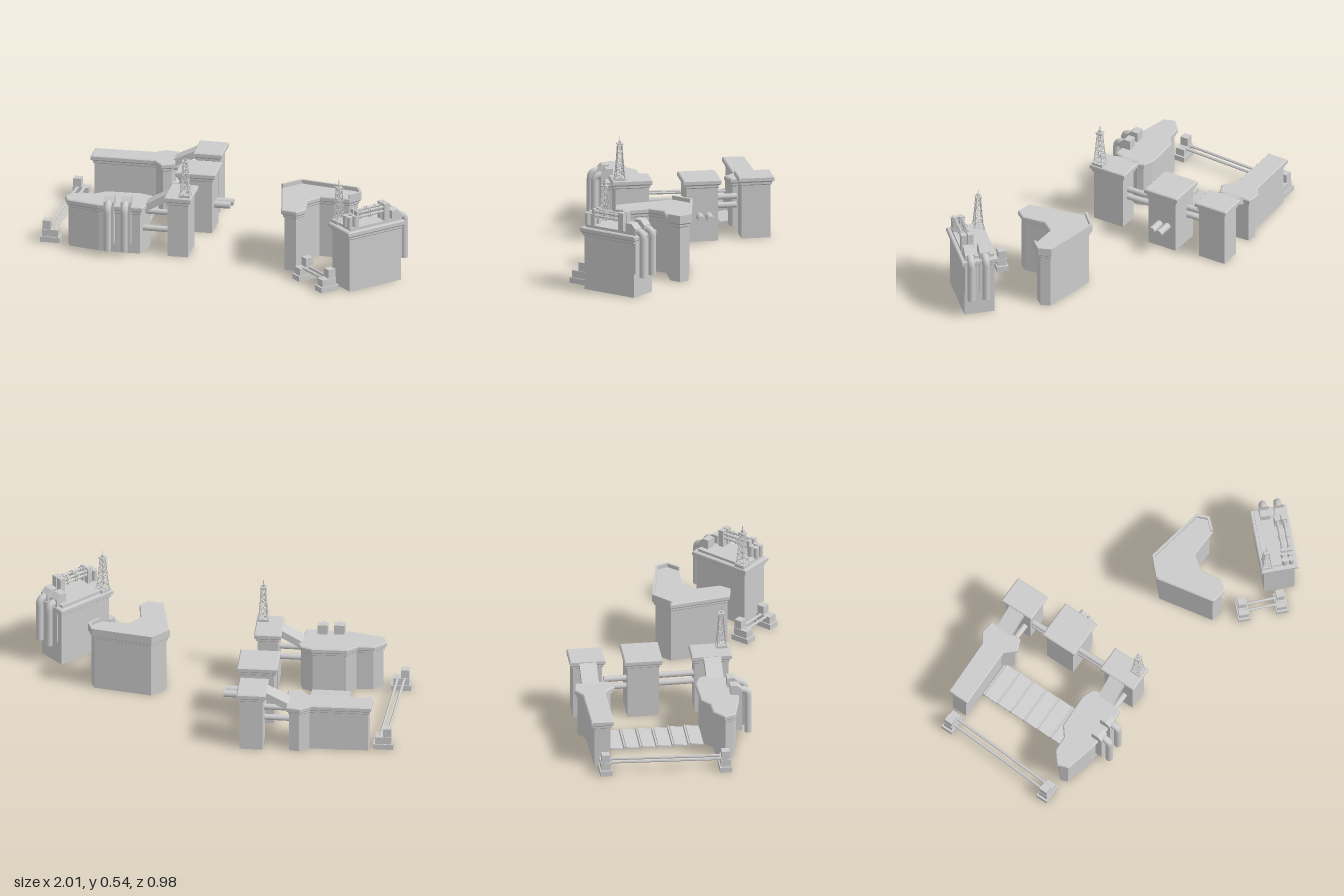
import * as THREE from 'three';

const flat = new THREE.MeshStandardMaterial({ color: 0xcccccc, flatShading: true });
const smooth = new THREE.MeshStandardMaterial({ color: 0xcccccc });
const thin = new THREE.MeshStandardMaterial({ color: 0xcccccc, flatShading: true, side: THREE.DoubleSide });
const V = (x, y, z) => new THREE.Vector3(x, y, z);
const YAW = 0.39; // left compound is turned this way, right compound the other way

function add(parent, name, geo, mat = flat, x = 0, y = 0, z = 0) {
  const m = new THREE.Mesh(geo, mat);
  m.name = name;
  m.position.set(x, y, z);
  parent.add(m);
  return m;
}
const box = (p, name, w, h, d, x, y, z) => add(p, name, new THREE.BoxGeometry(w, h, d), flat, x, y + h / 2, z);

function group(parent, name, x, y, z, ry = 0) {
  const g = new THREE.Group();
  g.name = name;
  g.position.set(x, y, z);
  g.rotation.y = ry;
  parent.add(g);
  return g;
}

// Round bar between two points
function bar(parent, name, a, b, r, seg = 14) {
  const m = add(parent, name, new THREE.CylinderGeometry(r, r, a.distanceTo(b), seg), seg > 6 ? smooth : flat);
  m.position.copy(a).lerp(b, 0.5);
  m.quaternion.setFromUnitVectors(V(0, 1, 0), b.clone().sub(a).normalize());
  return m;
}

// Move every edge of a footprint inwards by d
function inset(pts, d) {
  const n = pts.length;
  const normal = (a, b) => new THREE.Vector2(b.y - a.y, a.x - b.x).normalize();
  return pts.map((p, i) => {
    const n1 = normal(pts[(i + n - 1) % n], p), n2 = normal(p, pts[(i + 1) % n]);
    return p.clone().addScaledVector(n1.clone().add(n2), -d / (1 + n1.dot(n2)));
  });
}

// Walls from a footprint, lofted through [inset, y] rings to form the cornice
function block(parent, name, coords, h) {
  let pts = coords.map(([x, z]) => new THREE.Vector2(x, z));
  if (THREE.ShapeUtils.area(pts) < 0) pts = pts.reverse();
  const rings = [[0.016, 0], [0.016, h - 0.045], [0.01, h - 0.04], [0.01, h - 0.03],
    [0.003, h - 0.024], [0, h - 0.022], [0, h - 0.005], [0.005, h]]
    .map(([d, y]) => inset(pts, d).map((p) => V(p.x, y, p.y)));
  const out = [];
  const tri = (...vs) => vs.forEach((v) => out.push(v.x, v.y, v.z));
  const n = pts.length, top = rings[rings.length - 1];
  for (let r = 0; r < rings.length - 1; r++) {
    for (let i = 0; i < n; i++) {
      const j = (i + 1) % n, a = rings[r][i], b = rings[r][j], c = rings[r + 1][j], d = rings[r + 1][i];
      tri(a, d, c);
      tri(a, c, b);
    }
  }
  for (const [a, b, c] of THREE.ShapeUtils.triangulateShape(pts, [])) {
    tri(top[a], top[c], top[b]);
    tri(rings[0][a], rings[0][b], rings[0][c]);
  }
  const geo = new THREE.BufferGeometry();
  geo.setAttribute('position', new THREE.Float32BufferAttribute(out, 3));
  geo.computeVertexNormals();
  return add(parent, name, geo);
}

const rect = (w, d) => [[-w / 2, -d / 2], [w / 2, -d / 2], [w / 2, d / 2], [-w / 2, d / 2]];

// Chamfered duct with an elbow pipe running down beside it (outwards is +z)
function downPipe(parent, x, z, ry, r, pipeY, low, ductTop, ductLow) {
  const g = group(parent, 'downPipe', x, 0, z, ry);
  const path = new THREE.CurvePath(), e = 0.035;
  path.add(new THREE.LineCurve3(V(0, pipeY, -0.07), V(0, pipeY, -e)));
  path.add(new THREE.QuadraticBezierCurve3(V(0, pipeY, -e), V(0, pipeY, 0), V(0, pipeY - e, 0)));
  path.add(new THREE.LineCurve3(V(0, pipeY - e, 0), V(0, low, 0)));
  add(g, 'pipe', new THREE.TubeGeometry(path, 50, r, 14), smooth);
  add(g, 'pipeEnd', new THREE.CylinderGeometry(r, r, 0.01, 14), smooth, 0, low + 0.005, 0);
  const w = 0.05, s = new THREE.Shape();
  [[0, ductLow], [0.06, ductLow], [0.06, ductTop - 0.025], [0.035, ductTop], [0, ductTop]]
    .forEach(([a, b], i) => (i ? s.lineTo(a, b) : s.moveTo(a, b)));
  const duct = add(g, 'duct', new THREE.ExtrudeGeometry(s, { depth: w, bevelEnabled: false }), flat, w / 2, 0, -0.09);
  duct.rotation.y = -Math.PI / 2;
}

// Lattice mast: four tapered legs, crossed braces, platform and spire
function mast(parent, x, y, z, ry) {
  const g = group(parent, 'latticeMast', x, y, z, ry);
  const H = 0.18, levels = 6;
  const corner = (k, t) => {
    const a = k * Math.PI / 2 + Math.PI / 4, r = 0.034 - 0.02 * Math.pow(t, 0.75);
    return V(Math.cos(a) * r, H * t, Math.sin(a) * r);
  };
  for (let k = 0; k < 4; k++) {
    for (let i = 0; i < levels; i++) {
      const t = i / levels, u = (i + 1) / levels;
      bar(g, 'leg', corner(k, t), corner(k, u), 0.0028, 4);
      bar(g, 'brace', corner(k, t), corner(k + 1, u), 0.0016, 4);
      bar(g, 'brace', corner(k + 1, t), corner(k, u), 0.0016, 4);
      bar(g, 'crossBar', corner(k, u), corner(k + 1, u), 0.0016, 4);
    }
  }
  box(g, 'mastPlatform', 0.032, 0.006, 0.032, 0, H, 0);
  box(g, 'mastHead', 0.012, 0.012, 0.012, 0, H + 0.006, 0);
  bar(g, 'spire', V(0, H, 0), V(0, 0.222, 0), 0.0018, 5);
}

// Stepped barrier posts joined by two rails
function barrier(parent, a, b, ry, flip) {
  for (const p of [a, b]) {
    const g = group(parent, 'barrierPost', p.x, 0, p.z, ry);
    box(g, 'postBase', 0.1, 0.028, 0.06, 0, 0, 0);
    box(g, 'postBody', 0.08, 0.037, 0.048, 0, 0.028, 0);
    box(g, 'postHead', 0.04, 0.045, 0.04, flip * 0.018, 0.065, 0);
  }
  const side = V(b.z - a.z, 0, a.x - b.x).normalize().multiplyScalar(0.017);
  for (const s of [-1, 1]) {
    const off = side.clone().multiplyScalar(s).setY(0.062);
    bar(parent, 'barrierRail', a.clone().add(off), b.clone().add(off), 0.007, 6);
  }
}

// Sloping walkway from a low roof up to a tower
function walkway(parent, a, b) {
  const m = box(parent, 'walkway', 0.085, 0.035, a.distanceTo(b), 0, 0, 0);
  m.position.copy(a).lerp(b, 0.5);
  m.lookAt(b);
}

export function createModel() {
  const model = new THREE.Group();

  // Left compound: two low halls
  const left = group(model, 'leftCompound', 0, 0, 0);
  block(left, 'backHall', [[-0.92, -0.2], [-0.645, -0.32], [-0.612, -0.372], [-0.543, -0.39], [-0.474, -0.235],
    [-0.52, -0.19], [-0.585, -0.22], [-0.88, -0.096]], 0.25);
  block(left, 'frontHall', [[-0.685, 0.42], [-0.65, 0.35], [-0.575, 0.315], [-0.545, 0.26], [-0.385, 0.187],
    [-0.32, 0.185], [-0.29, 0.22], [-0.27, 0.355], [-0.39, 0.406], [-0.48, 0.438], [-0.645, 0.465]], 0.25);

  // Three towers
  for (const [name, x, z, w, d] of [['backTower', -0.353, -0.382, 0.145, 0.178],
    ['middleTower', -0.254, -0.126, 0.2, 0.19], ['frontTower', -0.142, 0.198, 0.135, 0.2]]) {
    block(group(left, name, x, 0, z, YAW), name + 'Walls', rect(w, d), 0.315);
  }
  mast(left, -0.088, 0.315, 0.24, YAW);
  box(group(left, 'mastBase', -0.088, 0.315, 0.24, YAW), 'mastPlinth', 0.056, 0.012, 0.056, 0, 0, 0);

  // Walkways and connecting pipes
  walkway(left, V(-0.53, 0.226, -0.31), V(-0.4, 0.297, -0.362));
  walkway(left, V(-0.305, 0.226, 0.268), V(-0.19, 0.297, 0.22));
  for (const [y, o] of [[0.123, 0.02], [0.2, -0.015]]) {
    bar(left, 'linkPipe', V(-0.52, y, -0.29 + o), V(-0.38, y, -0.345 + o), 0.015);
    bar(left, 'linkPipe', V(-0.32, y, 0.29 + o), V(-0.17, y, 0.23 + o), 0.015);
  }
  for (const y of [0.15, 0.193]) {
    bar(left, 'towerPipe', V(-0.36, y, -0.29), V(-0.29, y, -0.13), 0.015);
    bar(left, 'towerPipe', V(-0.25, y, -0.05), V(-0.155, y, 0.17), 0.015);
  }
  for (const [x, z] of [[-0.108, -0.22], [-0.098, -0.175]]) {
    bar(left, 'outletPipe', V(x - 0.11, 0.13, z + 0.045), V(x, 0.13, z), 0.018);
  }
  downPipe(left, -0.404, 0.463, YAW, 0.018, 0.265, 0.03, 0.3, 0.05);
  downPipe(left, -0.329, 0.425, YAW, 0.018, 0.265, 0.03, 0.3, 0.05);

  // Slatted floor between the halls
  const floor = group(left, 'slattedFloor', -0.558, 0, 0.025, YAW);
  for (let i = 0; i < 6; i++) {
    const z = -0.2 + i * 0.08;
    const panel = add(floor, 'floorPanel', new THREE.BoxGeometry(0.195, 0.006, 0.066), thin, 0, 0.012, z);
    panel.rotation.x = 0.12;
    box(floor, 'floorRib', 0.195, 0.022, 0.008, 0, 0, z - 0.04);
  }
  barrier(left, V(-0.95, 0, -0.122), V(-0.755, 0, 0.44), YAW, -1);

  // Right compound: angled building with a parapet along its back
  const right = group(model, 'rightCompound', 0, 0, 0);
  const plan = [[0.25, -0.112], [0.297, -0.22], [0.597, -0.284], [0.645, -0.235], [0.62, -0.166], [0.48, -0.112],
    [0.458, -0.032], [0.516, 0.07], [0.5, 0.128], [0.42, 0.145]];
  block(right, 'angledBuilding', plan, 0.322);
  for (let i = 0; i < 4; i++) {
    const [ax, az] = plan[i], [bx, bz] = plan[i + 1], len = Math.hypot(bx - ax, bz - az);
    const g = group(right, 'parapet', (ax + bx) / 2, 0.3, (az + bz) / 2, Math.atan2(az - bz, bx - ax));
    box(g, 'parapetWall', len, 0.042, 0.012, 0, 0, 0.006);
  }

  // Plant building with roof machinery
  const plant = group(right, 'plantBuilding', 0.853, 0, 0.03, -0.4);
  block(plant, 'plantWalls', rect(0.185, 0.335), 0.318);
  box(plant, 'roofSlab', 0.15, 0.014, 0.29, 0, 0.318, 0);
  box(plant, 'mastPlinth', 0.056, 0.016, 0.056, -0.06, 0.318, 0.125);
  mast(plant, -0.06, 0.32, 0.125, 0);
  for (const x of [0.028, 0.062]) {
    box(plant, 'manifold', 0.028, 0.09, 0.03, x, 0.33, -0.07);
    for (const y of [0.38, 0.402]) {
      bar(plant, 'roofPipe', V(x, y, -0.07), V(x, y, 0.1), 0.007, 10);
      for (const z of [-0.03, 0.02, 0.03, 0.08]) {
        bar(plant, 'pipeCollar', V(x, y, z - 0.003), V(x, y, z + 0.003), 0.011, 10);
      }
    }
    box(plant, 'pipeStand', 0.024, 0.085, 0.014, x, 0.33, 0.1);
    for (const z of [0.11, 0.142]) {
      bar(plant, 'roofDrum', V(x, 0.33, z), V(x, 0.386, z), 0.013);
      bar(plant, 'drumCap', V(x, 0.386, z), V(x, 0.391, z), 0.015);
    }
  }
  downPipe(right, 0.905, -0.155, Math.PI - 0.4, 0.019, 0.335, 0.105, 0.38, 0.12);
  downPipe(right, 0.973, -0.125, Math.PI - 0.4, 0.019, 0.335, 0.105, 0.375, 0.12);
  barrier(right, V(0.575, 0, 0.172), V(0.755, 0, 0.24), -0.4 + Math.PI / 2, 1);

  return model;
}
